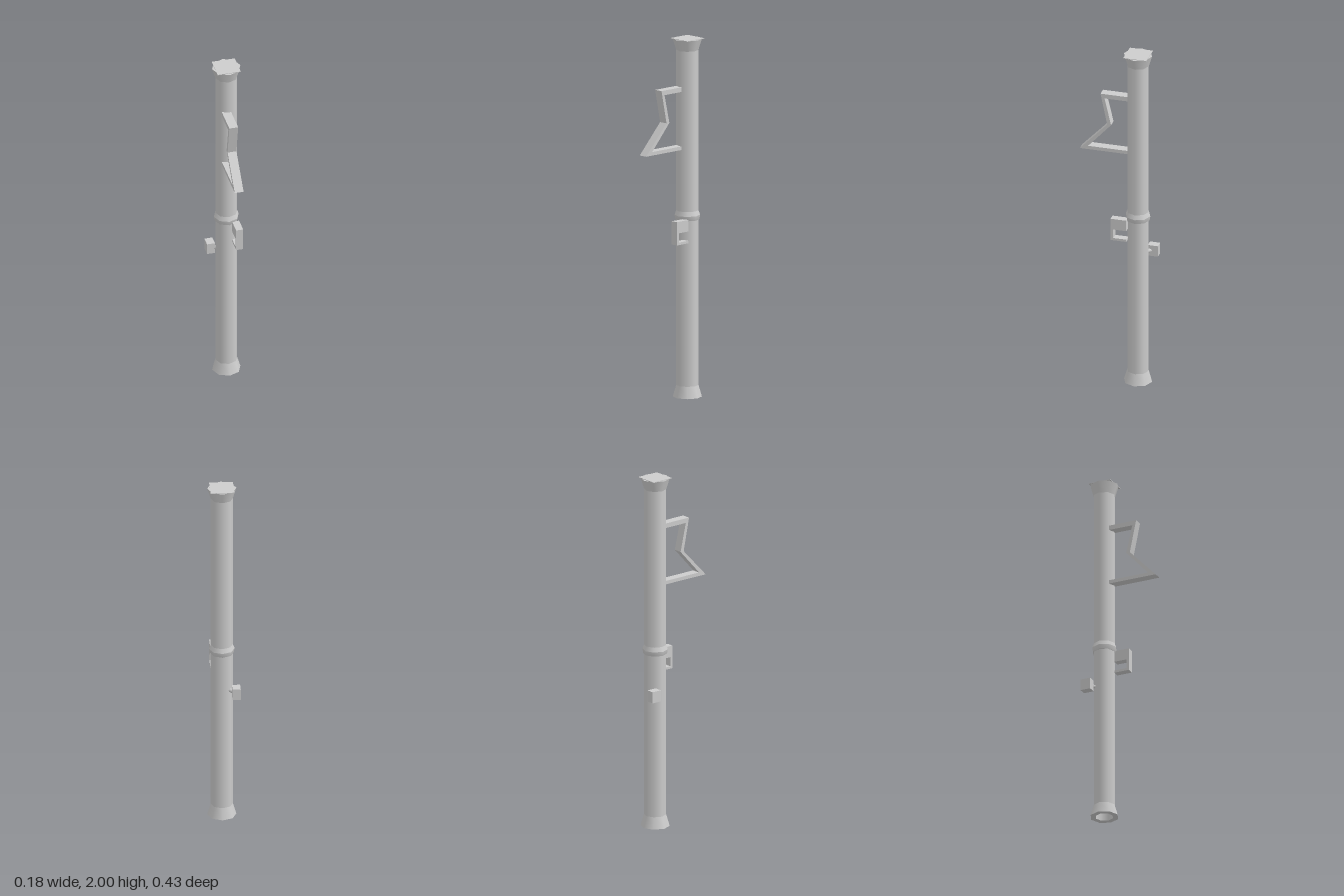
import * as THREE from 'three';

export function createModel() {
  const model = new THREE.Group();
  const grey = new THREE.MeshStandardMaterial({ color: 0xcccccc });
  grey.name = 'plain grey';
  const CX = 0.008, CZ = -0.116, SIDES = 8;

  const add = (name, geometry, x = 0, y = 0, z = 0) => {
    const mesh = new THREE.Mesh(geometry, grey);
    mesh.name = name;
    mesh.position.set(x, y, z);
    model.add(mesh);
    return mesh;
  };
  // Octagonal turned part on the tube axis; profile is [radius, y] pairs
  const turned = (name, profile) =>
    add(name, new THREE.LatheGeometry(profile.map(([r, y]) => new THREE.Vector2(r, y)), SIDES), CX, 0, CZ);
  // Outline in [z, y], extruded sideways from x0 to x1
  const sidePlate = (name, outline, x0, x1) => {
    const shape = new THREE.Shape(outline.map(([z, y]) => new THREE.Vector2(-z, y)));
    const geometry = new THREE.ExtrudeGeometry(shape, { depth: x1 - x0, bevelEnabled: false });
    geometry.rotateY(Math.PI / 2);
    return add(name, geometry, x0, 0, 0);
  };

  // Long hollow tube with flared ends
  turned('tube', [[0.061, 0.065], [0.061, 1.935]]);
  turned('tubeBore', [[0.05, 1.995], [0.05, 0]]);
  turned('bottomFlare', [[0.08, 0], [0.061, 0.065]]);
  turned('bottomRim', [[0.05, 0], [0.08, 0]]);
  turned('topFlare', [[0.061, 1.935], [0.08, 1.997]]);
  turned('topRim', [[0.08, 1.997], [0, 1.997]]);

  // Square plate closing the top
  add('topPlate', new THREE.BoxGeometry(0.131, 0.003, 0.131), CX, 1.9985, CZ);

  // Joint collar
  turned('collarUpper', [[0.07, 1.015], [0.061, 1.04]]);
  turned('collarLower', [[0.061, 0.99], [0.066, 0.99], [0.07, 1.015]]);

  // Bent carrying handle
  sidePlate('handle', [
    [-0.07, 1.735], [0.094, 1.735], [0.056, 1.55], [0.212, 1.385], [-0.07, 1.385],
    [-0.07, 1.405], [0.165, 1.405], [0.034, 1.55], [0.071, 1.709], [-0.07, 1.709],
  ], -0.029, 0.021);

  // Trigger block with guard
  sidePlate('triggerGuard', [
    [-0.066, 1], [0.023, 1], [0.023, 0.87], [-0.066, 0.87],
    [-0.066, 0.884], [0.008, 0.884], [0.008, 0.936], [-0.066, 0.936],
  ], 0.028, 0.068);

  // Small block on a stub behind the tube
  add('rearBlock', new THREE.BoxGeometry(0.045, 0.064, 0.058), -0.0675, 0.777, -0.185);
  const stub = add('rearStub', new THREE.CylinderGeometry(0.011, 0.011, 0.05, 8), -0.043, 0.777, -0.164);
  stub.rotation.set(Math.PI / 2, Math.PI / 4, 0, 'YXZ');

  return model;
}
